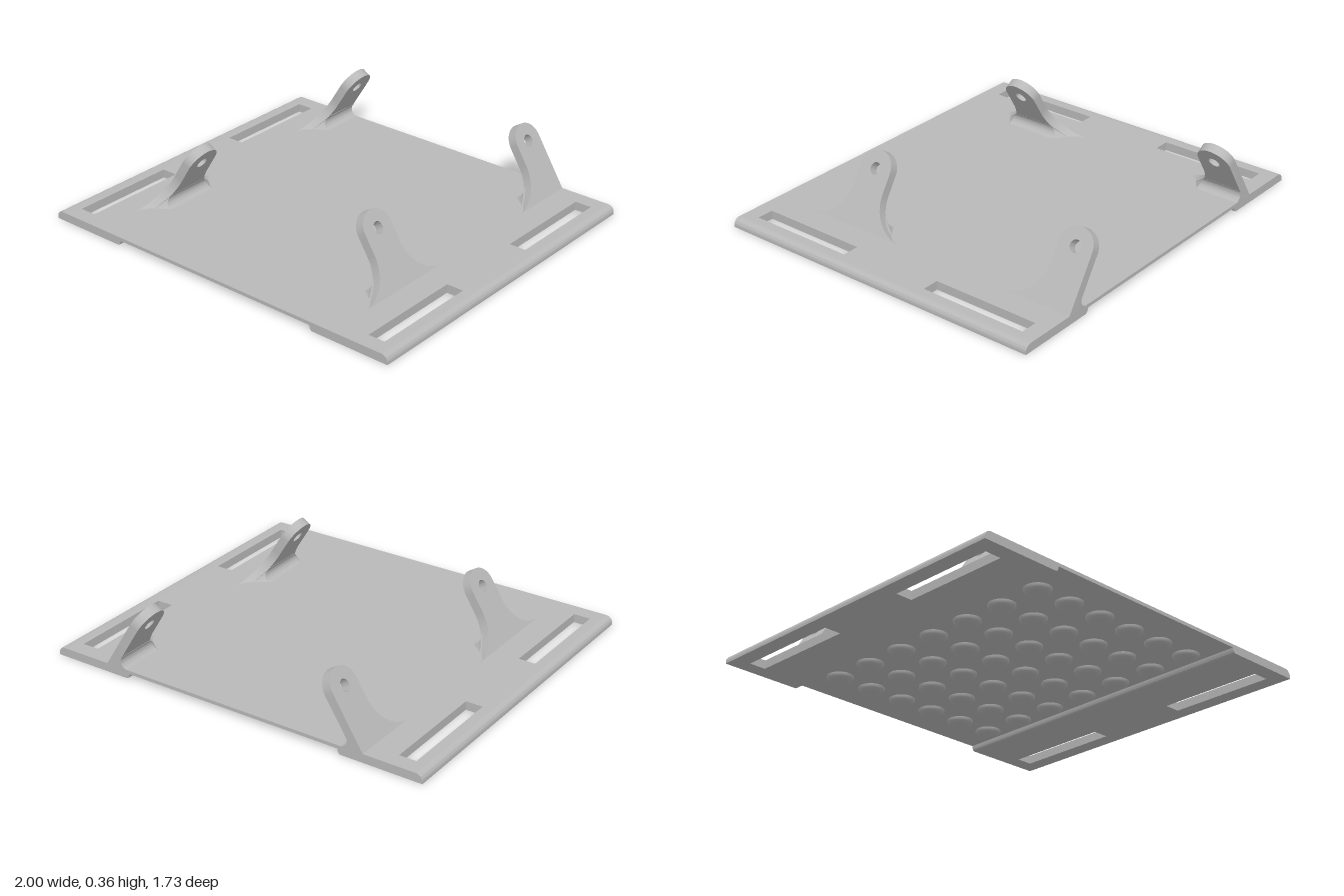
import * as THREE from 'three';
import { toCreasedNormals } from 'three/addons/utils/BufferGeometryUtils.js';

const TOP = 0.043, HALF_Z = 0.865;       // plate top and half length
const LUG_W = 0.0885, FLARE = 0.187;     // lug half width and base flare radius
const LUG_L = 0.374, LUG_T = 0.046;      // lug length and thickness
const LEAN = 0.561;                      // lean from upright, radians
const S = Math.sin(LEAN), C = Math.cos(LEAN);
const BASE_X = 0.705;                    // where the outer lug face meets the plate

const grey = new THREE.MeshStandardMaterial({ color: 0xb8b8b8 });
grey.name = 'grey';

function mesh(name, geometry) {
  const m = new THREE.Mesh(geometry, grey);
  m.name = name;
  return m;
}

const smooth = (g) => toCreasedNormals(g, 0.5);

function extrude(shape, depth) {
  return new THREE.ExtrudeGeometry(shape, { depth, bevelEnabled: false, curveSegments: 20 });
}

// Main plate: thick sides with a shallow recess underneath
function plate() {
  const half = [[0.575, 0.026], [0.577, 0.014], [0.581, 0.005], [0.59, 0], [0.835, 0], [0.835, TOP]];
  const points = [...half, ...half.map(([x, y]) => [-x, y]).reverse()];
  const g = extrude(new THREE.Shape(points.map(([x, y]) => new THREE.Vector2(x, y))), 2 * HALF_Z);
  return mesh('plate', smooth(g.translate(0, 0, -HALF_Z)));
}

// Strap edge: rounded outer rail joined to the plate by bridges around two slots
function strapEdge() {
  const group = new THREE.Group();
  group.name = 'strapEdge';
  const r = 0.033;
  const s = new THREE.Shape();
  s.moveTo(0.92, 0);
  s.lineTo(1, 0);
  s.lineTo(1, TOP - r);
  s.absarc(1 - r, TOP - r, r, 0, Math.PI / 2, false);
  s.lineTo(0.92, TOP);
  group.add(mesh('outerRail', smooth(extrude(s, 2 * HALF_Z).translate(0, 0, -HALF_Z))));
  for (const [z0, z1] of [[-HALF_Z, -0.785], [-0.238, 0.238], [0.785, HALF_Z]]) {
    const bridge = mesh('slotBridge', new THREE.BoxGeometry(0.085, TOP, z1 - z0));
    bridge.position.set(0.8775, TOP / 2, (z0 + z1) / 2);
    group.add(bridge);
  }
  return group;
}

// Half width of a lug at height h along its face
function halfWidth(h, flared) {
  if (!flared || h >= FLARE) return LUG_W;
  return LUG_W + FLARE - Math.sqrt(FLARE ** 2 - (FLARE - Math.max(h, 0)) ** 2);
}

// Leaning lug with a hole, optionally flared towards -z and +z
function lug(flareBack, flareFront) {
  const group = new THREE.Group();
  group.name = 'lug';
  const s = new THREE.Shape();
  const foot = LUG_W + FLARE, eye = LUG_L - LUG_W;
  s.moveTo(flareBack ? -foot : -LUG_W, 0);
  s.lineTo(flareFront ? foot : LUG_W, 0);
  if (flareFront) s.absarc(foot, FLARE, FLARE, -Math.PI / 2, -Math.PI, true);
  s.lineTo(LUG_W, eye);
  s.absarc(0, eye, LUG_W, 0, Math.PI, false);
  if (flareBack) {
    s.lineTo(-LUG_W, FLARE);
    s.absarc(-foot, FLARE, FLARE, 0, -Math.PI / 2, true);
  }
  const hole = new THREE.Path();
  hole.absarc(0, eye, 0.029, 0, Math.PI * 2, true);
  s.holes.push(hole);
  const frame = new THREE.Matrix4().makeBasis(
    new THREE.Vector3(0, 0, 1), new THREE.Vector3(-S, C, 0), new THREE.Vector3(-C, -S, 0));
  frame.setPosition(BASE_X, TOP, 0);
  group.add(mesh('lugArm', smooth(extrude(s, LUG_T).applyMatrix4(frame))));

  // Fillet under the lean, its ends following the flares
  const r = 0.035, angle = Math.PI / 2 - LEAN;
  const cornerX = BASE_X - LUG_T / C;
  const cx = cornerX - r / Math.tan(angle / 2);
  const f = new THREE.Shape();
  f.moveTo(cornerX + 0.01, TOP - 0.005);
  f.lineTo(cornerX + 0.01, TOP);
  f.lineTo(cornerX - S * (cornerX - cx) + 0.01, TOP + C * (cornerX - cx));
  f.absarc(cx, TOP + r, r, Math.PI / 2 - LEAN + Math.PI / 2 - angle + LEAN - Math.PI / 2 + LEAN, -Math.PI / 2, true);
  f.lineTo(cx, TOP - 0.005);
  const g = extrude(f, 1);
  const p = g.attributes.position;
  for (let i = 0; i < p.count; i++) {
    const h = (BASE_X - p.getX(i)) * S + (p.getY(i) - TOP) * C;
    p.setZ(i, p.getZ(i) > 0.5 ? halfWidth(h, flareFront) : -halfWidth(h, flareBack));
  }
  group.add(mesh('lugFillet', smooth(g)));
  return group;
}

// Grip bumps under the recess
function gripBumps() {
  const group = new THREE.Group();
  group.name = 'gripBumps';
  const profile = [[0, 0], [0.03, 0.001], [0.045, 0.004], [0.057, 0.01], [0.063, 0.018], [0.065, 0.028]];
  const g = new THREE.LatheGeometry(profile.map(([x, y]) => new THREE.Vector2(x, y)), 28);
  for (let i = 0; i < 6; i++) {
    for (let j = 0; j < 7; j++) {
      const bump = mesh('gripBump', g);
      bump.position.set((i - 2.5) * 0.195, 0, (j - 3) * 0.219);
      group.add(bump);
    }
  }
  return group;
}

export function createModel() {
  const model = new THREE.Group();
  model.name = 'strapPlate';
  model.add(plate(), gripBumps());
  for (const left of [true, false]) {
    const turn = left ? 0 : Math.PI;
    const edge = strapEdge();
    edge.rotation.y = turn;
    const front = lug(true, true);
    front.name = 'frontLug';
    front.position.z = 0.375;
    front.rotation.y = turn;
    const back = lug(!left, left);
    back.name = 'backLug';
    back.position.z = -HALF_Z + LUG_W;
    back.rotation.y = turn;
    model.add(edge, front, back);
  }
  return model;
}
